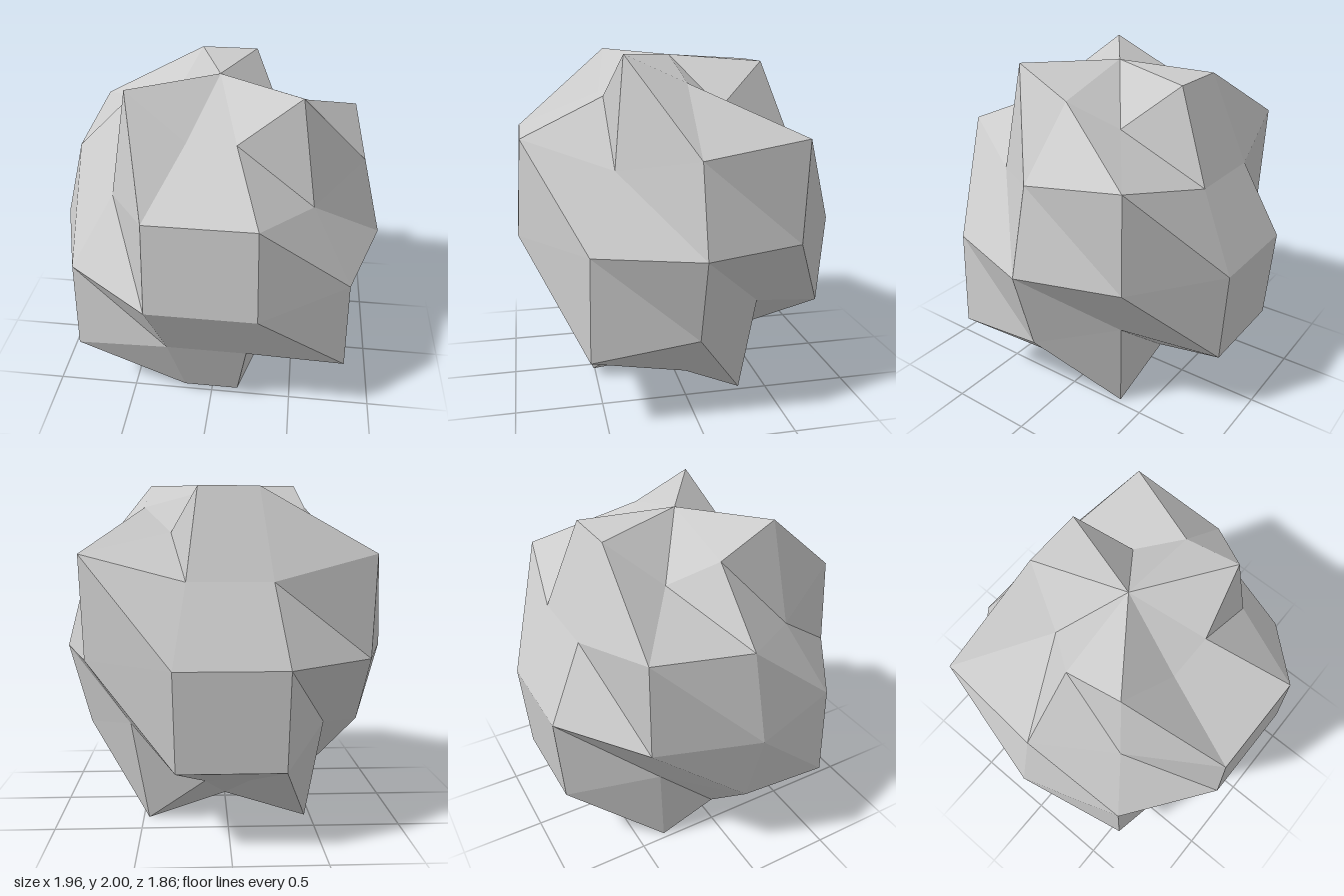
import * as THREE from 'three';

// Faceted rock: a coarse sphere whose radius ripples around and down the body
export function createModel() {
  const group = new THREE.Group();
  const radius = 0.9776, ripple = 0.22;

  const sphere = new THREE.SphereGeometry(1, 10, 6);
  const pos = sphere.attributes.position;
  const v = new THREE.Vector3();
  for (let i = 0; i < pos.count; i++) {
    v.fromBufferAttribute(pos, i).normalize();
    const around = Math.atan2(v.z, v.x);
    const down = Math.acos(THREE.MathUtils.clamp(v.y, -1, 1));
    v.multiplyScalar(radius * (1 + ripple * Math.sin(3 * around) * Math.sin(4 * down)));
    pos.setXYZ(i, v.x, v.y, v.z);
  }

  // Separate faces for crisp facets
  const geometry = sphere.toNonIndexed();
  geometry.computeVertexNormals();

  const rock = new THREE.Mesh(
    geometry,
    new THREE.MeshStandardMaterial({ color: 0xcccccc, flatShading: true })
  );
  rock.name = 'rock';
  rock.position.y = 1;
  group.add(rock);
  return group;
}
